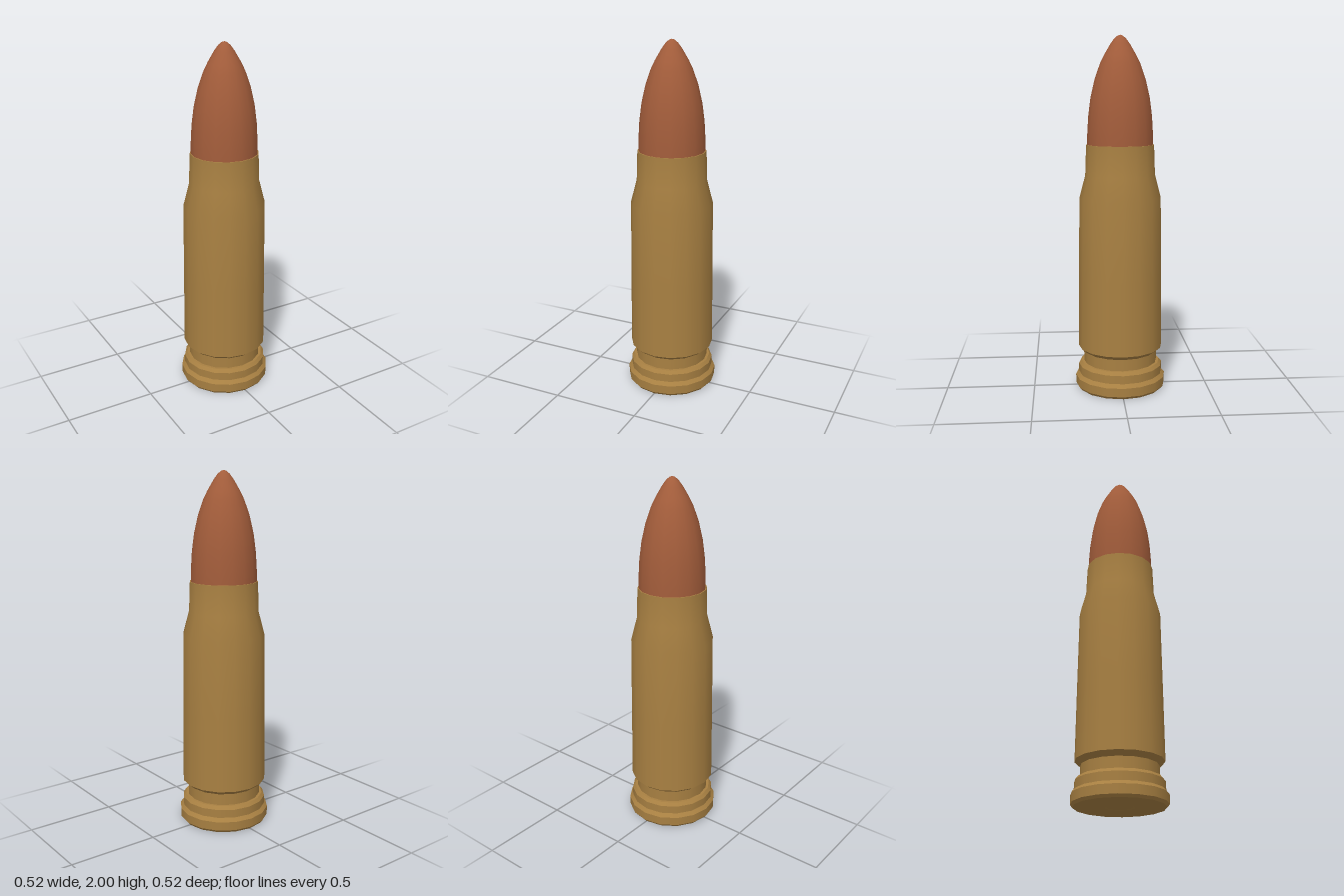
import * as THREE from 'three';

const SIDES = 16;

// Turned surface from [radius, height] points, listed bottom to top
function turned(name, points, material) {
  const profile = points.map(([r, y]) => new THREE.Vector2(r, y));
  const mesh = new THREE.Mesh(new THREE.LatheGeometry(profile, SIDES), material);
  mesh.name = name;
  return mesh;
}

export function createModel() {
  const brass = new THREE.MeshStandardMaterial({ color: 0xa88042 });
  brass.name = 'brass';
  const copper = new THREE.MeshStandardMaterial({ color: 0xa35d3b });
  copper.name = 'copper';

  const model = new THREE.Group();
  model.name = 'cartridge';

  // Separate runs keep the machined edges sharp
  const caseParts = {
    primer: [[0, 0.016], [0.03, 0.012], [0.045, 0.004], [0.07, 0.004]],
    primerSeat: [[0.07, 0.004], [0.08, 0]],
    baseFace: [[0.08, 0], [0.245, 0]],
    rimLowerBevel: [[0.245, 0], [0.257, 0.015]],
    rim: [[0.257, 0.015], [0.258, 0.065]],
    rimUpperBevel: [[0.258, 0.065], [0.24, 0.085]],
    collar: [[0.24, 0.085], [0.24, 0.132]],
    collarBevel: [[0.24, 0.132], [0.225, 0.15]],
    grooveFloor: [[0.225, 0.15], [0.21, 0.15]],
    groove: [[0.21, 0.15], [0.21, 0.215]],
    bodyLowerBevel: [[0.21, 0.215], [0.24, 0.24]],
    body: [[0.24, 0.24], [0.236, 0.65], [0.231, 1.1], [0.197, 1.23], [0.191, 1.4]],
    mouth: [[0.191, 1.4], [0.183, 1.4]],
  };
  const casing = new THREE.Group();
  casing.name = 'casing';
  for (const [name, points] of Object.entries(caseParts)) {
    casing.add(turned(name, points, brass));
  }
  model.add(casing);

  // Pointed tip seated in the case mouth
  model.add(turned('bulletTip', [
    [0.185, 1.39], [0.184, 1.46], [0.178, 1.56], [0.165, 1.66], [0.142, 1.76],
    [0.112, 1.845], [0.09, 1.89], [0.055, 1.95], [0.033, 1.98], [0.014, 1.996], [0, 2],
  ], copper));

  return model;
}
